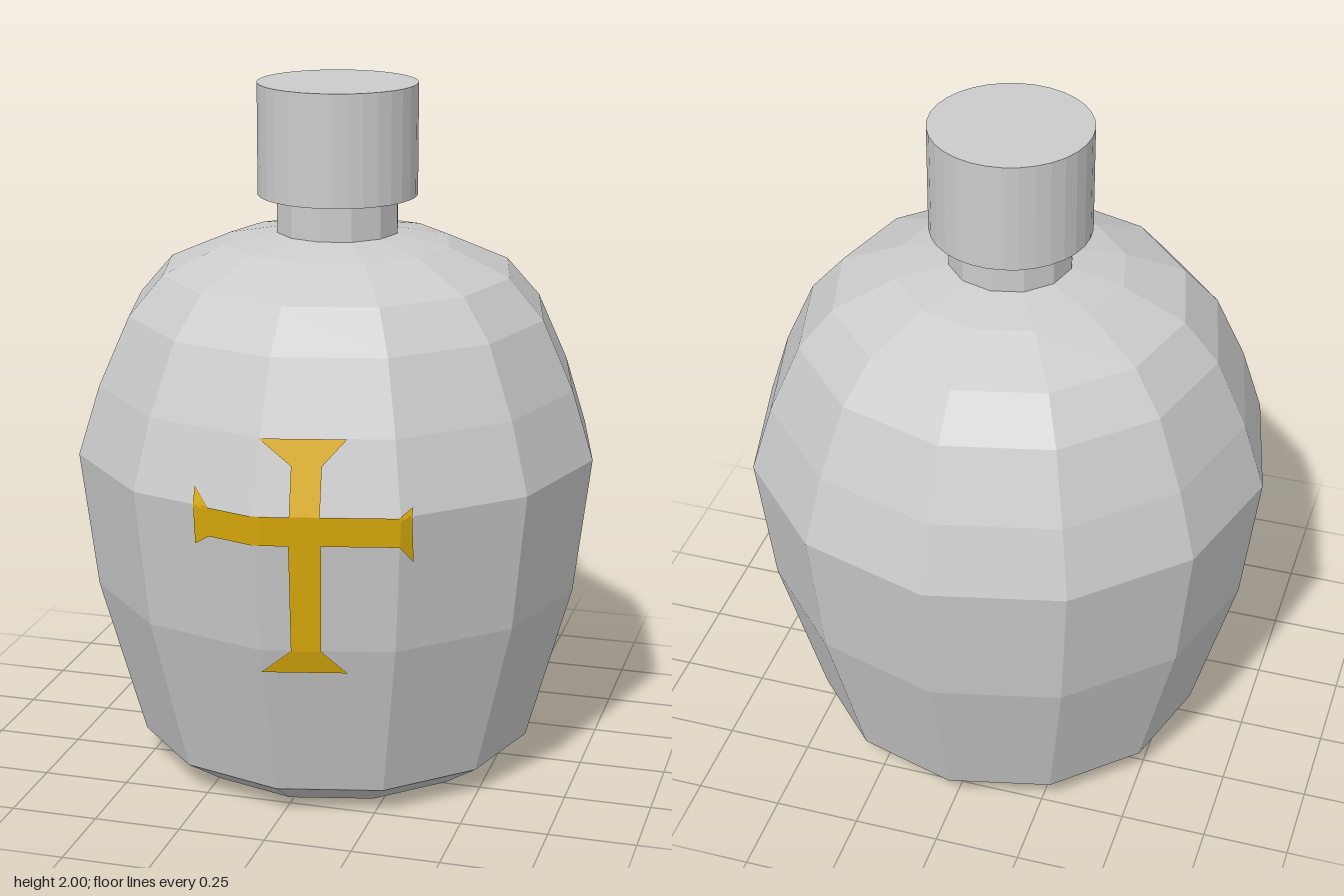
import * as THREE from 'three';

const SIDES = 12;
const TWIST = THREE.MathUtils.degToRad(-1.5);
// Body profile: [radius, height], bottom to top
const PROFILE = [
  [0.015, 0], [0.465, 0], [0.585, 0.08], [0.715, 0.55], [0.763, 0.95], [0.7, 1.15],
  [0.61, 1.35], [0.51, 1.465], [0.33, 1.545], [0.17, 1.575],
];

const grey = new THREE.MeshStandardMaterial({ color: 0xcccccc, flatShading: true });
const gold = new THREE.MeshStandardMaterial({ color: 0xdcac0c, flatShading: true, side: THREE.DoubleSide });

function add(parent, name, geometry, material) {
  const mesh = new THREE.Mesh(geometry, material);
  mesh.name = name;
  parent.add(mesh);
  return mesh;
}

// Body radius at a height (corner radius of the polygon)
function radiusAt(y) {
  for (let i = 2; i < PROFILE.length; i++) {
    const [r0, y0] = PROFILE[i - 1], [r1, y1] = PROFILE[i];
    if (y <= y1) return THREE.MathUtils.lerp(r0, r1, (y - y0) / (y1 - y0));
  }
  return 0;
}

// Depth of the faceted front surface at (x, y), raised slightly
function surfaceZ(x, y) {
  const half = Math.PI / SIDES;
  const apothem = (radiusAt(y) + 0.004) * Math.cos(half);
  return Math.min(...[-3, -1, 1, 3].map((k) => {
    const a = TWIST + k * half;
    return (apothem - x * Math.sin(a)) / Math.cos(a);
  }));
}

// Four-cornered patch (bottom left, bottom right, top right, top left) laid on the body
function patch([bl, br, tr, tl]) {
  const geometry = new THREE.PlaneGeometry(1, 1, 20, 8);
  const p = geometry.attributes.position;
  const mix = THREE.MathUtils.lerp;
  for (let i = 0; i < p.count; i++) {
    const u = p.getX(i) + 0.5, v = p.getY(i) + 0.5;
    const x = mix(mix(bl[0], br[0], u), mix(tl[0], tr[0], u), v);
    const y = mix(mix(bl[1], br[1], u), mix(tl[1], tr[1], u), v);
    p.setXYZ(i, x, y, surfaceZ(x, y));
  }
  geometry.computeVertexNormals();
  return geometry;
}

export function createModel() {
  const model = new THREE.Group();
  model.name = 'bottle';

  // Faceted body with a tiny opening in the base
  const points = PROFILE.map(([r, y]) => new THREE.Vector2(r, y));
  add(model, 'body', new THREE.LatheGeometry(points, SIDES, TWIST), grey);

  // Neck and stopper
  const neck = new THREE.CylinderGeometry(0.178, 0.178, 0.13, SIDES, 1, true, TWIST);
  add(model, 'neck', neck, grey).position.y = 1.625;
  add(model, 'cap', new THREE.CylinderGeometry(0.23, 0.23, 0.32, 32), grey).position.y = 1.84;

  // Gold cross with flared ends, following the facets
  const cross = new THREE.Group();
  cross.name = 'crossEmblem';
  model.add(cross);
  const pieces = {
    crossTopFlare: [[0.07, 1.08], [0.15, 1.08], [0.21, 1.15], [-0.02, 1.15]],
    crossUpperArm: [[0.075, 0.95], [0.155, 0.95], [0.15, 1.08], [0.07, 1.08]],
    crossBar: [[-0.16, 0.865], [0.36, 0.865], [0.36, 0.95], [-0.16, 0.95]],
    crossLowerArm: [[0.065, 0.55], [0.145, 0.55], [0.155, 0.865], [0.07, 0.865]],
    crossBottomFlare: [[-0.02, 0.48], [0.21, 0.48], [0.145, 0.55], [0.065, 0.55]],
    crossRightFlare: [[-0.205, 0.835], [-0.16, 0.865], [-0.16, 0.95], [-0.205, 1.0]],
    crossLeftFlare: [[0.36, 0.865], [0.39, 0.815], [0.39, 0.975], [0.36, 0.95]],
  };
  for (const [name, corners] of Object.entries(pieces)) add(cross, name, patch(corners), gold);

  return model;
}
